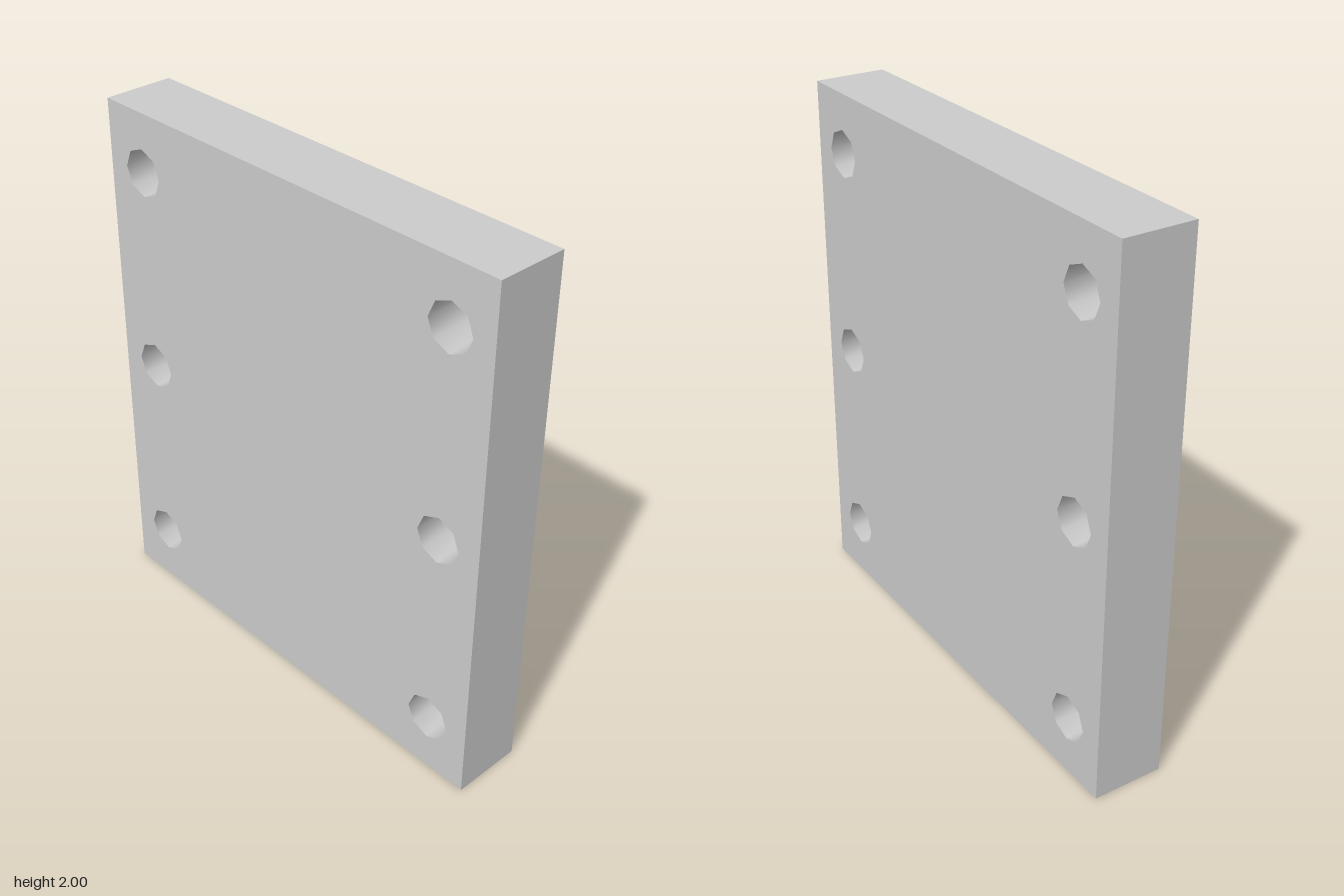
import * as THREE from 'three';
import { toCreasedNormals } from 'three/addons/utils/BufferGeometryUtils.js';

const HEIGHT = 2, DEPTH = 1.78, THICKNESS = 0.267;
const HOLE_RADIUS = 0.089, HOLE_SIDES = 8;

// Eight-sided bolt hole with a corner pointing straight up
function boltHole(cx, cy) {
  const points = [];
  for (let i = 0; i < HOLE_SIDES; i++) {
    const a = -(i / HOLE_SIDES) * Math.PI * 2;
    points.push(new THREE.Vector2(cx + HOLE_RADIUS * Math.cos(a), cy + HOLE_RADIUS * Math.sin(a)));
  }
  return new THREE.Path(points).closePath();
}

export function createModel() {
  const group = new THREE.Group();
  group.name = 'mountingPlate';

  // Plate outline with two columns of three holes
  const d = DEPTH / 2;
  const outline = new THREE.Shape([
    new THREE.Vector2(-d, 0), new THREE.Vector2(d, 0),
    new THREE.Vector2(d, HEIGHT), new THREE.Vector2(-d, HEIGHT),
  ]);
  for (const side of [-1, 1]) {
    for (const y of [0.223, 1, 1.777]) outline.holes.push(boltHole(side * 0.716, y));
  }

  // Extrude through the thickness and turn it to face sideways
  const geometry = new THREE.ExtrudeGeometry(outline, { depth: THICKNESS, bevelEnabled: false });
  geometry.translate(0, 0, -THICKNESS / 2);
  geometry.rotateY(Math.PI / 2);

  // Smooth hole walls, sharp plate edges
  const plate = new THREE.Mesh(
    toCreasedNormals(geometry, THREE.MathUtils.degToRad(50)),
    new THREE.MeshStandardMaterial({ color: 0xcccccc }),
  );
  plate.name = 'plate';
  group.add(plate);
  return group;
}
